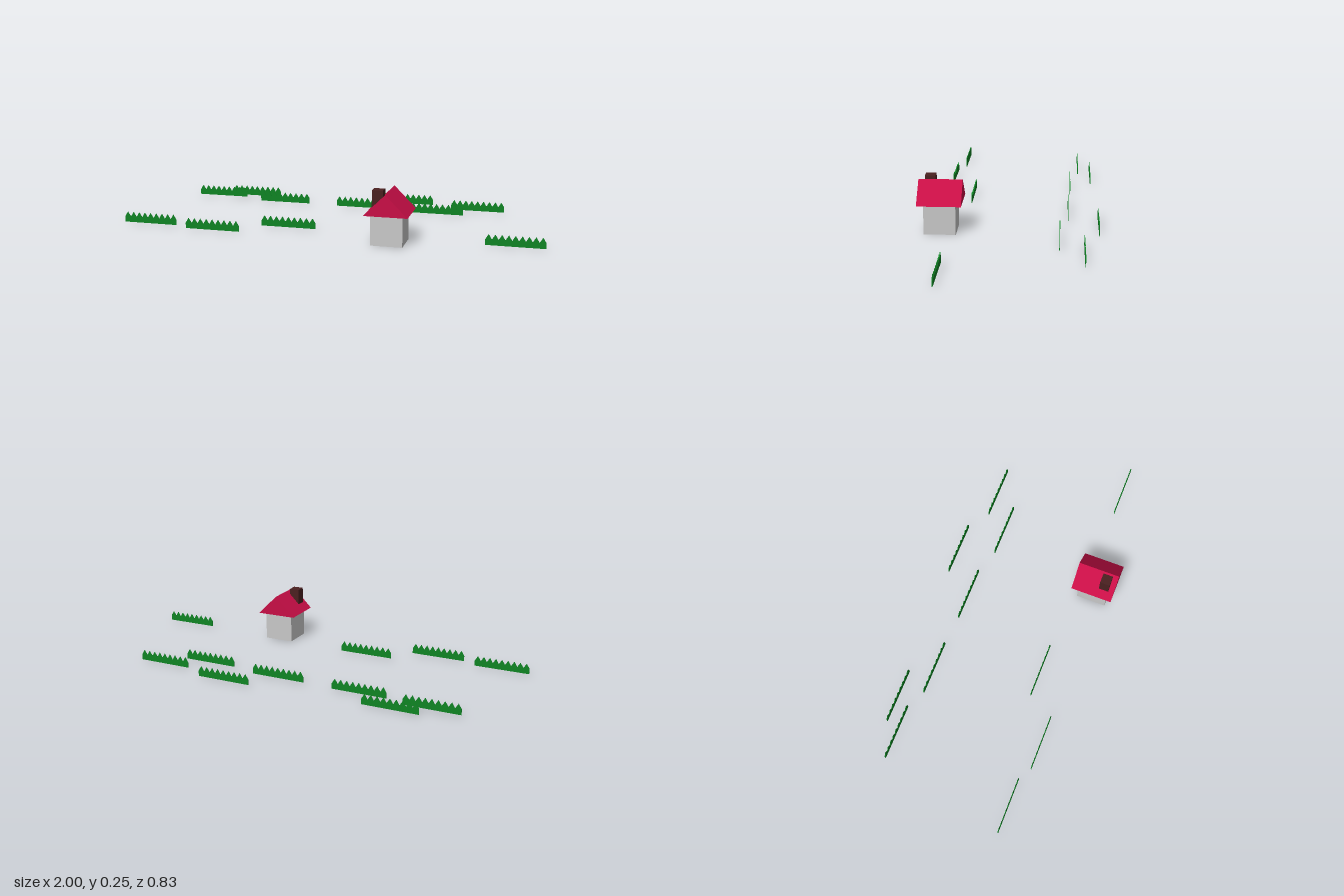
import * as THREE from 'three';

const mat = (name, color, extra = {}) => {
  const m = new THREE.MeshStandardMaterial({ color, flatShading: true, ...extra });
  m.name = name;
  return m;
};

export function createModel() {
  const model = new THREE.Group();
  const wallGrey = mat('wall grey', 0xc8c8c8, { side: THREE.DoubleSide });
  const roofRed = mat('roof red', 0xc80e46);
  const chimneyBrown = mat('chimney brown', 0x4a2020);
  const grassGreen = mat('grass green', 0x0f8424);

  const add = (parent, name, geometry, material, x, y, z) => {
    const mesh = new THREE.Mesh(geometry, material);
    mesh.name = name;
    mesh.position.set(x, y, z);
    parent.add(mesh);
  };

  // House: open square walls, gabled roof and chimney
  const house = new THREE.Group();
  house.name = 'house';
  house.position.set(0.31, 0, 0.312);
  model.add(house);

  const r = 0.146 / Math.SQRT2;
  const walls = new THREE.CylinderGeometry(r, r, 0.141, 4, 1, true, Math.PI / 4);
  add(house, 'walls', walls, wallGrey, 0, 0.0705, 0);

  const gable = new THREE.Shape([
    new THREE.Vector2(-0.1, 0), new THREE.Vector2(0.1, 0), new THREE.Vector2(0, 0.1),
  ]);
  const roof = new THREE.ExtrudeGeometry(gable, { depth: 0.202, bevelEnabled: false });
  add(house, 'roof', roof, roofRed, 0, 0.141, -0.101);

  add(house, 'chimney', new THREE.BoxGeometry(0.05, 0.1, 0.048), chimneyBrown, -0.041, 0.203, 0.05);

  // Grass: thin strips with a pointed top edge
  const length = 0.267, teeth = 9, step = length / teeth, thick = 0.003;
  const blade = new THREE.Shape();
  blade.moveTo(-length / 2, 0);
  blade.lineTo(length / 2, 0);
  for (let i = teeth; i > 0; i--) {
    const x = -length / 2 + i * step;
    blade.lineTo(x, 0.026);
    blade.lineTo(x - step / 2, 0.05);
  }
  blade.lineTo(-length / 2, 0.026);
  const strip = new THREE.ExtrudeGeometry(blade, { depth: thick, bevelEnabled: false });

  // Strip centre x, base y, z
  const places = [
    [-0.866, 0.006, 0.3], [-0.534, 0.006, 0.337], [-0.2, 0.008, 0.208], [0.8665, 0.006, 0.263],
    [-0.734, 0.011, -0.323], [-0.567, 0.006, -0.388], [-0.374, 0.006, -0.28], [0.043, 0.006, -0.27],
    [0.255, 0.006, -0.411], [0.436, 0.006, -0.232], [0.628, 0.006, -0.341],
  ];
  const grass = new THREE.Group();
  grass.name = 'grass';
  model.add(grass);
  for (const [x, y, z] of places) add(grass, 'grassStrip', strip, grassGreen, x, y, z - thick / 2);

  return model;
}
